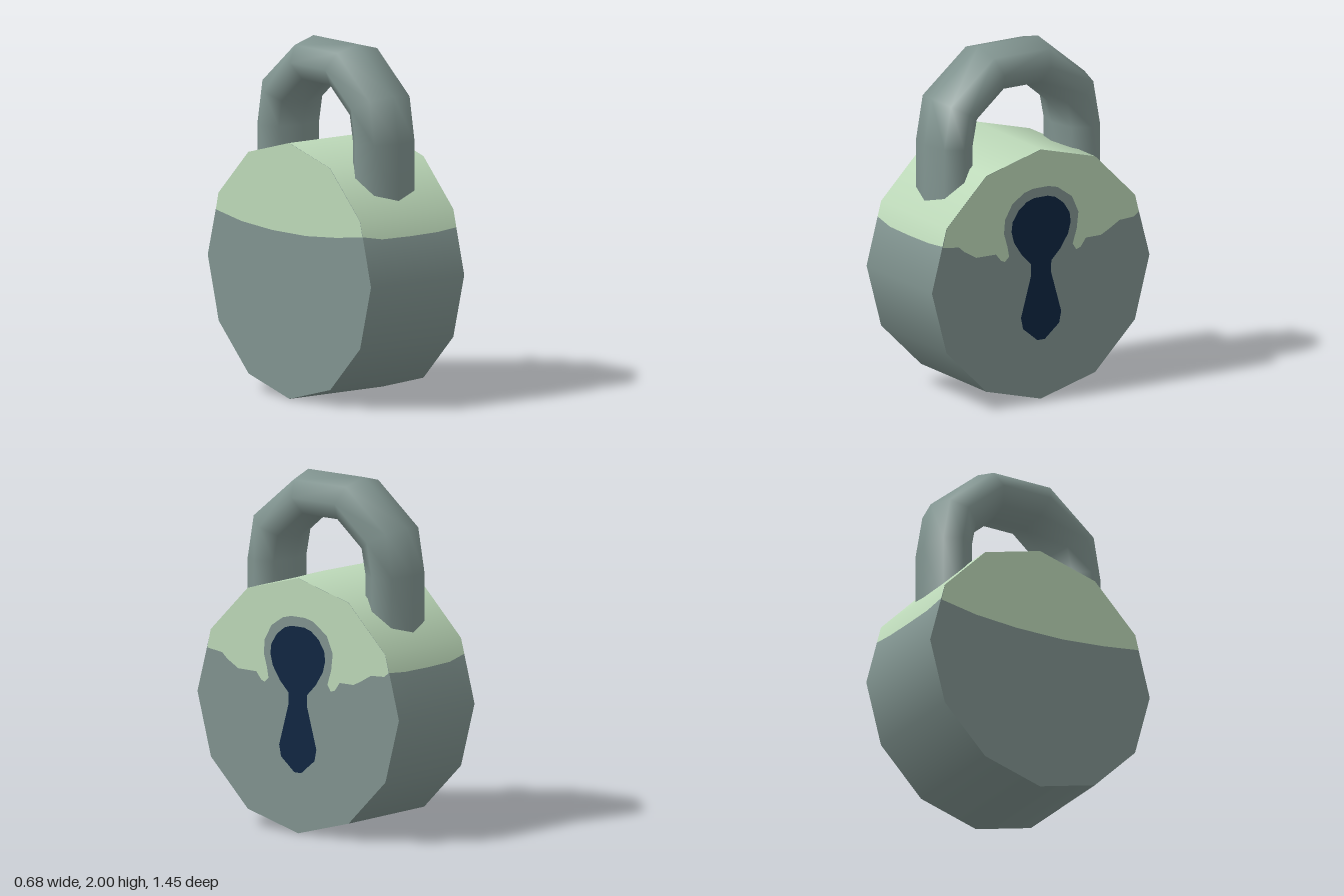
import * as THREE from 'three';

const R = 0.725, HALF = 0.335, SIDES = 12;

// Skin over rows of points; optional normal rule, optional closed rows
function skin(rows, closed, normalOf) {
  const n = rows[0].length, index = [];
  for (let i = 0; i < rows.length - 1; i++) {
    for (let j = 0; j < (closed ? n : n - 1); j++) {
      const k = (j + 1) % n;
      const a = i * n + j, b = i * n + k, c = a + n, d = b + n;
      index.push(a, b, c, b, d, c);
    }
  }
  const points = rows.flat(), g = new THREE.BufferGeometry();
  g.setAttribute('position', new THREE.Float32BufferAttribute(points.flat(), 3));
  g.setIndex(index);
  if (normalOf) g.setAttribute('normal', new THREE.Float32BufferAttribute(points.flatMap(normalOf), 3));
  else g.computeVertexNormals();
  return g;
}

export function createModel() {
  const model = new THREE.Group();
  const material = (name, color) => Object.assign(new THREE.MeshStandardMaterial({ color }), { name });
  const steel = material('greyMetal', 0x80938f);
  const green = material('paleGreen', 0xbcd8b8);
  const navy = material('darkBlue', 0x0d2541);
  const add = (name, geometry, mat) => {
    const m = new THREE.Mesh(geometry, mat);
    m.name = name;
    model.add(m);
    return m;
  };

  // Rim of the body: rows across the width, split where the two colours meet
  const columns = [-HALF, -0.2, 0, 0.2, HALF];
  const seamY = [1.0, 0.975, 0.972, 0.975, 0.987];
  const corner = (deg) => {
    const a = THREE.MathUtils.degToRad(deg);
    return [R * Math.sin(a), R + R * Math.cos(a)];
  };
  const row = (deg) => columns.map((x) => [x, corner(deg)[1], corner(deg)[0]]);
  const seamZ = (y) => {
    const [z0, y0] = corner(60), [z1, y1] = corner(90);
    return z0 + (z1 - z0) * (y0 - y) / (y0 - y1);
  };
  const seam = (side) => columns.map((x, i) => [x, seamY[i], side * seamZ(seamY[i])]);
  const radial = ([, y, z]) => {
    const l = Math.hypot(y - R, z);
    return [0, (y - R) / l, z / l];
  };
  const upperAngles = [60, 30, 0, -30, -60];
  const lowerAngles = [-90, -120, -150, -180, -210, -240, -270];
  add('upperRim', skin([seam(1), ...upperAngles.map(row), seam(-1)], false, radial), green);
  add('lowerRim', skin([seam(-1), ...lowerAngles.map(row), seam(1)], false, radial), steel);

  // Flat plates standing on either side face
  const plate = (name, pts, side, lift, mat) => {
    const shape = new THREE.Shape(pts.map(([u, y]) => new THREE.Vector2(u, y)));
    const m = add(name, new THREE.ShapeGeometry(shape), mat);
    m.rotation.y = side * Math.PI / 2;
    m.position.x = side * (HALF + lift);
  };
  const disc = Array.from({ length: SIDES }, (_, i) => corner(i * 360 / SIDES));
  const crown = [...upperAngles].reverse().map(corner);
  plate('keyholeFace', disc, 1, 0, steel);
  plate('plainFace', disc, -1, 0, steel);

  // Painted top of the keyhole face, wrapping round a grey halo
  plate('keyholeFacePaint', [...crown,
    [0.653, 0.987], [0.62, 0.962], [0.525, 0.957], [0.46, 0.92], [0.40, 0.89], [0.30, 0.89],
    [0.265, 0.842], [0.235, 0.833], [0.212, 0.87], [0.239, 0.955], [0.25, 1.05], [0.207, 1.146],
    [0.11, 1.215], [0.05, 1.23], [-0.05, 1.23], [-0.11, 1.215], [-0.19, 1.162], [-0.239, 1.077],
    [-0.246, 0.997], [-0.223, 0.918], [-0.212, 0.86], [-0.24, 0.833], [-0.265, 0.844],
    [-0.30, 0.886], [-0.43, 0.888], [-0.51, 0.934], [-0.546, 0.966], [-0.653, 0.98],
  ], 1, 0.002, green);

  // Painted top of the plain face with a gently sagging edge
  plate('plainFacePaint', [...crown,
    [0.651, 1.0], [0.42, 0.967], [0.15, 0.942], [-0.15, 0.938], [-0.42, 0.953], [-0.651, 0.99],
  ], -1, 0.002, green);

  // Keyhole
  const half = [[0.045, 1.175], [0.095, 1.16], [0.15, 1.118], [0.19, 1.056], [0.197, 1.0],
    [0.18, 0.935], [0.127, 0.854], [0.068, 0.795], [0.066, 0.73], [0.10, 0.61], [0.134, 0.49],
    [0.12, 0.424], [0.075, 0.387], [0.025, 0.345]];
  plate('keyhole', [...half, ...half.map(([u, y]) => [-u, y]).reverse()], 1, 0.004, navy);

  // Shackle: rings of [z, y, outward z, outward y], mirrored front to back
  const front = [
    [0.424, 1.05, 0.133, 0], [0.424, 1.48, 0.133, 0],
    [0.388, 1.676, 0.122, 0.069], [0.155, 1.869, 0.045, 0.131],
  ];
  const back = front.map(([z, y, dz, dy]) => [-z, y, -dz, dy]).reverse();
  const rings = [...front, ...back].map(([z, y, dz, dy]) =>
    Array.from({ length: 8 }, (_, j) => {
      const a = j * Math.PI / 4, c = Math.cos(a);
      return [0.205 * Math.sin(a), y + dy * c, z + dz * c];
    }));
  add('shackle', skin(rings, true), steel);

  return model;
}
